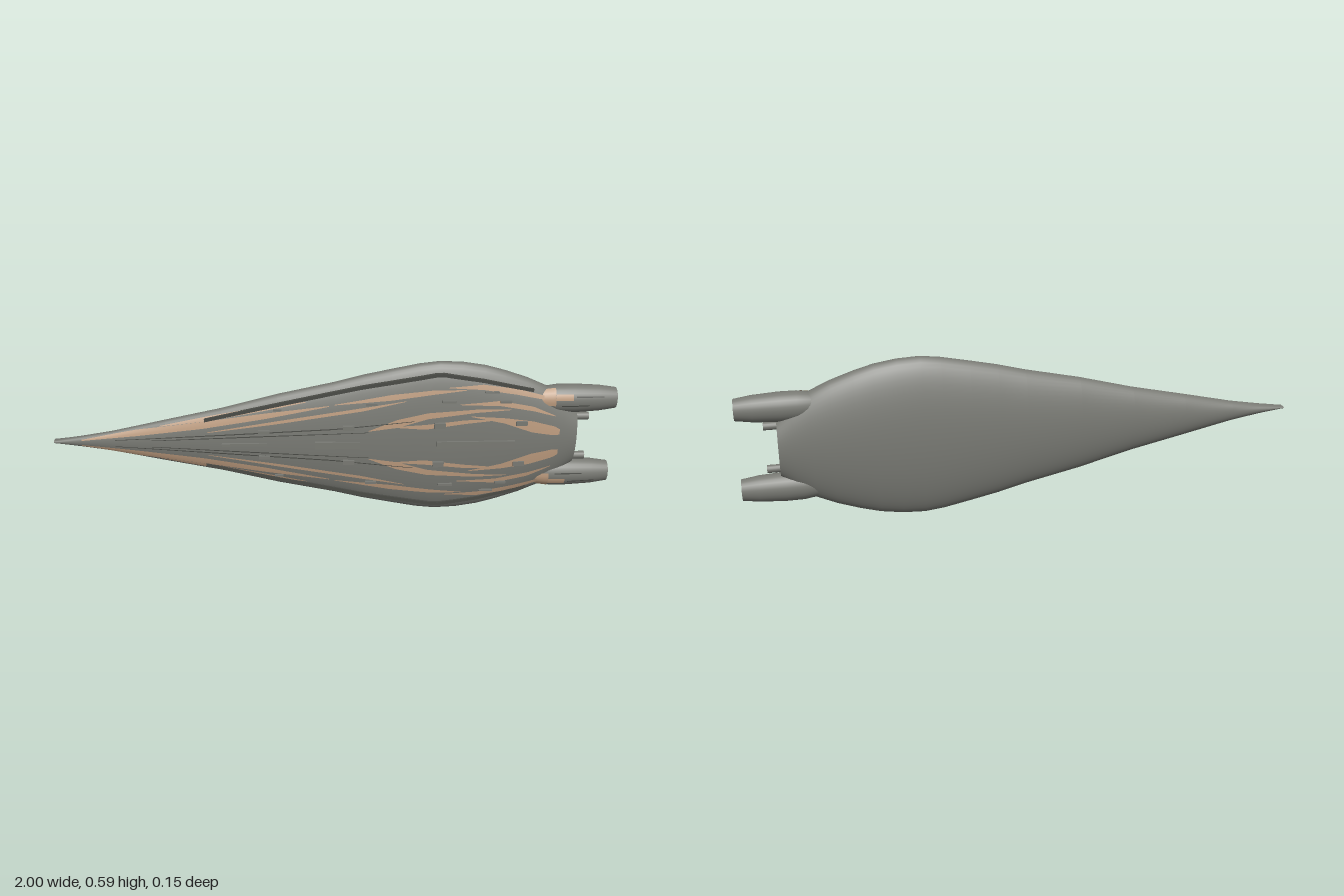
import * as THREE from 'three';

const CY = 0.294;
// hull stations: x, half height, back depth, front depth
const ST = [
  [-1, 0.004, 0.022, 0.008], [-0.9, 0.019, 0.027, 0.012], [-0.79, 0.038, 0.032, 0.018],
  [-0.6, 0.08, 0.041, 0.028], [-0.4, 0.123, 0.05, 0.038], [-0.2, 0.175, 0.059, 0.047],
  [0, 0.218, 0.067, 0.056], [0.1, 0.244, 0.071, 0.06], [0.2, 0.265, 0.074, 0.063],
  [0.3, 0.285, 0.076, 0.065], [0.37, 0.293, 0.077, 0.066], [0.45, 0.289, 0.077, 0.066],
  [0.53, 0.276, 0.076, 0.066], [0.6, 0.256, 0.074, 0.065], [0.68, 0.228, 0.07, 0.063],
  [0.75, 0.196, 0.065, 0.059], [0.81, 0.155, 0.059, 0.054], [0.865, 0.105, 0.053, 0.048],
];

// linear lookup in a table whose first column is x
function lookup(table, x, k) {
  let i = 0;
  while (i < table.length - 2 && x > table[i + 1][0]) i++;
  const a = table[i], b = table[i + 1];
  return a[k] + (b[k] - a[k]) * THREE.MathUtils.clamp((x - a[0]) / (b[0] - a[0]), 0, 1);
}

// height of the decorated face at x and distance v from the centre line
function surfaceZ(x, v) {
  const t = Math.min(1, Math.abs(v) / lookup(ST, x, 1));
  return lookup(ST, x, 3) * Math.sqrt(1 - t * t);
}

// joins equal-sized loops of points into a skin
function loft(loops, closed) {
  const n = loops[0].length, pos = [], idx = [];
  loops.forEach(l => l.forEach(p => pos.push(...p)));
  for (let i = 0; i < loops.length - 1; i++) {
    for (let j = 0; j < (closed ? n : n - 1); j++) {
      const a = i * n + j, b = i * n + (j + 1) % n;
      idx.push(a, b, a + n, b, b + n, a + n);
    }
  }
  const g = new THREE.BufferGeometry();
  g.setAttribute('position', new THREE.Float32BufferAttribute(pos, 3));
  g.setIndex(idx);
  g.computeVertexNormals();
  return g;
}

function ring([x, h, back, front], n = 56) {
  return Array.from({ length: n }, (_, j) => {
    const a = j / n * Math.PI * 2, s = Math.sin(a);
    return [x, CY + h * Math.cos(a), s * (s > 0 ? front : back)];
  });
}

// thin painted streak hugging the hull; path rows are x, v, width
function streak(path, side, lift) {
  const x0 = path[0][0], x1 = path[path.length - 1][0], loops = [];
  for (let i = 0; i <= 36; i++) {
    const x = x0 + (x1 - x0) * i / 36, v = lookup(path, x, 1), w = lookup(path, x, 2);
    loops.push([0.5, 0.17, -0.17, -0.5].map(k => {
      const y = v + k * w;
      return [x, CY + side * y, surfaceZ(x, y) + lift];
    }));
  }
  // keep the winding facing outward on both halves
  return loft(side > 0 ? loops.map(l => l.reverse()) : loops, false);
}

// raised rib following a path on the hull; path rows are x, v, height
function rib(path, side, width) {
  const loops = [];
  const x0 = path[0][0], x1 = path[path.length - 1][0];
  for (let i = 0; i <= 40; i++) {
    const x = x0 + (x1 - x0) * i / 40, v = lookup(path, x, 1);
    const z = surfaceZ(x, v) + lookup(path, x, 2), lo = v - width / 2, hi = v + width / 2;
    loops.push([[hi, surfaceZ(x, hi) - 0.004], [hi, z], [lo, z], [lo, surfaceZ(x, lo) - 0.004]]
      .map(([y, zz]) => [x, CY + side * y, zz]));
  }
  const g = loft(side > 0 ? loops : loops.map(l => l.reverse()), true).toNonIndexed();
  g.computeVertexNormals();
  return g;
}

export function createModel() {
  const group = new THREE.Group();
  const mat = (name, color, side = THREE.FrontSide) => {
    const m = new THREE.MeshStandardMaterial({ color, side });
    m.name = name;
    return m;
  };
  const grey = mat('hull grey', 0x787973);
  const tan = mat('tan paint', 0xbb9a7d, THREE.DoubleSide);
  const dark = mat('dark trim', 0x4a4b46, THREE.DoubleSide);
  const add = (name, geo, material) => {
    const m = new THREE.Mesh(geo, material);
    m.name = name;
    group.add(m);
    return m;
  };

  // hull skin with flat ends
  add('hull', loft(ST.map(s => ring(s)), true), grey);
  const tail = ST[ST.length - 1];
  const centre = ring(tail).map(() => [tail[0], CY, 0]);
  add('sternPlate', loft([ring(tail), centre], true), grey);
  add('noseTip', loft([ring(ST[0]).map(() => [-1, CY, -0.006]), ring(ST[0])], true), grey);

  const streaks = [
    // long streaks sweeping back from the nose
    [[-0.9, 0.01, 0.004], [-0.7, 0.04, 0.022], [-0.47, 0.07, 0.024], [-0.25, 0.106, 0.02], [-0.02, 0.145, 0.003]],
    [[-0.62, 0.064, 0.002], [-0.45, 0.093, 0.016], [-0.25, 0.132, 0.015], [-0.1, 0.158, 0.002]],
    [[-0.45, 0.045, 0.002], [-0.2, 0.085, 0.011], [0.1, 0.135, 0.012], [0.25, 0.165, 0.002]],
    // outer shoulder
    [[0, 0.15, 0.002], [0.2, 0.178, 0.02], [0.35, 0.197, 0.015], [0.46, 0.203, 0.002]],
    [[0.4, 0.212, 0.002], [0.52, 0.212, 0.018], [0.64, 0.192, 0.02], [0.76, 0.16, 0.012]],
    [[0.44, 0.152, 0.002], [0.58, 0.154, 0.018], [0.7, 0.13, 0.016], [0.78, 0.1, 0.003]],
    // crescents and stern fan
    [[0.12, 0.055, 0.002], [0.22, 0.083, 0.03], [0.33, 0.112, 0.022], [0.5, 0.128, 0.012], [0.62, 0.13, 0.002]],
    [[0.2, 0.07, 0.002], [0.32, 0.07, 0.018], [0.46, 0.088, 0.014], [0.58, 0.095, 0.003]],
    [[0.48, 0.108, 0.002], [0.6, 0.09, 0.02], [0.7, 0.064, 0.042], [0.78, 0.045, 0.034], [0.8, 0.04, 0.02]],
  ];
  const lines = [
    [[-0.78, 0.012, 0.002], [-0.4, 0.036, 0.004], [0, 0.062, 0.004], [0.28, 0.092, 0.002]],
    [[-0.65, 0.012, 0.002], [-0.3, 0.03, 0.004], [0.12, 0.05, 0.002]],
  ];
  const edge = [
    [-0.46, 0.088, 0.007], [-0.2, 0.147, 0.008], [0.1, 0.212, 0.009],
    [0.37, 0.258, 0.01], [0.52, 0.234, 0.008], [0.7, 0.192, 0.004],
  ];

  for (const side of [1, -1]) {
    streaks.forEach(p => add('paintStreak', streak(p, side, 0.0025), tan));
    lines.forEach(p => add('panelLine', streak(p, side, 0.0035), dark));
    add('edgeRib', rib(edge, side, 0.012), dark);

    // rows of small raised blocks
    for (const [x, v, len, w] of [
      [-0.25, 0.05, 0.04, 0.012], [0.05, 0.068, 0.04, 0.016], [0.37, 0.076, 0.04, 0.02],
      [0.66, 0.08, 0.04, 0.016], [-0.2, 0.13, 0.03, 0.006], [0.13, 0.155, 0.04, 0.008],
      [0.4, 0.165, 0.05, 0.008], [0.6, 0.16, 0.04, 0.008], [0.55, 0.195, 0.05, 0.005],
    ]) {
      add('deckBlock', new THREE.BoxGeometry(len, w, 0.014), grey)
        .position.set(x, CY + side * v, surfaceZ(x, v) + 0.003);
    }

    // main engine pod
    const ey = CY + side * 0.147;
    const profile = [[0, 0.66], [0.025, 0.68], [0.043, 0.73], [0.052, 0.79], [0.0525, 0.85], [0.047, 0.94], [0.038, 1]];
    const pod = new THREE.LatheGeometry(profile.map(p => new THREE.Vector2(...p)), 28);
    pod.rotateZ(-Math.PI / 2).scale(1, 1, 0.88);
    add('enginePod', pod, grey).position.y = ey;
    const cap = new THREE.CircleGeometry(0.038, 28).rotateY(Math.PI / 2);
    add('engineCap', cap, grey).position.set(1, ey, 0);

    // paint wrapped on the front of the pod
    const podPatch = (x0, x1, a0, a1, lift) => {
      const rows = [];
      for (let i = 0; i <= 8; i++) {
        const x = x0 + (x1 - x0) * i / 8, r = lookup(profile.map(p => [p[1], p[0]]), x, 1) + lift;
        rows.push(Array.from({ length: 7 }, (_, j) => {
          const a = a0 + (a1 - a0) * j / 6;
          return [x, ey + side * r * Math.cos(a), r * Math.sin(a) * 0.88];
        }));
      }
      return loft(side > 0 ? rows : rows.map(r => r.reverse()), false);
    };
    add('podPaint', podPatch(0.7, 0.78, 0.4, 1.8, 0.0015), tan);
    add('podPaint', podPatch(0.78, 0.84, 0.95, 1.4, 0.0015), tan);
    add('podSlit', podPatch(0.85, 0.95, 1.12, 1.2, 0.002), dark);
    add('podSlit', podPatch(0.8, 0.9, 1.75, 1.83, 0.002), dark);

    // small nozzle beside the pod
    const nozzle = new THREE.CylinderGeometry(0.014, 0.014, 0.1, 16).rotateZ(Math.PI / 2);
    add('smallNozzle', nozzle, grey).position.set(0.86, CY + side * 0.079, 0.005);
  }

  // raised plates along the centre line
  for (const [x, len, w] of [[-0.32, 0.16, 0.01], [0.01, 0.16, 0.026], [0.5, 0.28, 0.028]]) {
    add('centrePlate', new THREE.BoxGeometry(len, w, 0.01), grey)
      .position.set(x, CY, surfaceZ(x, 0) + 0.002);
  }
  return group;
}
